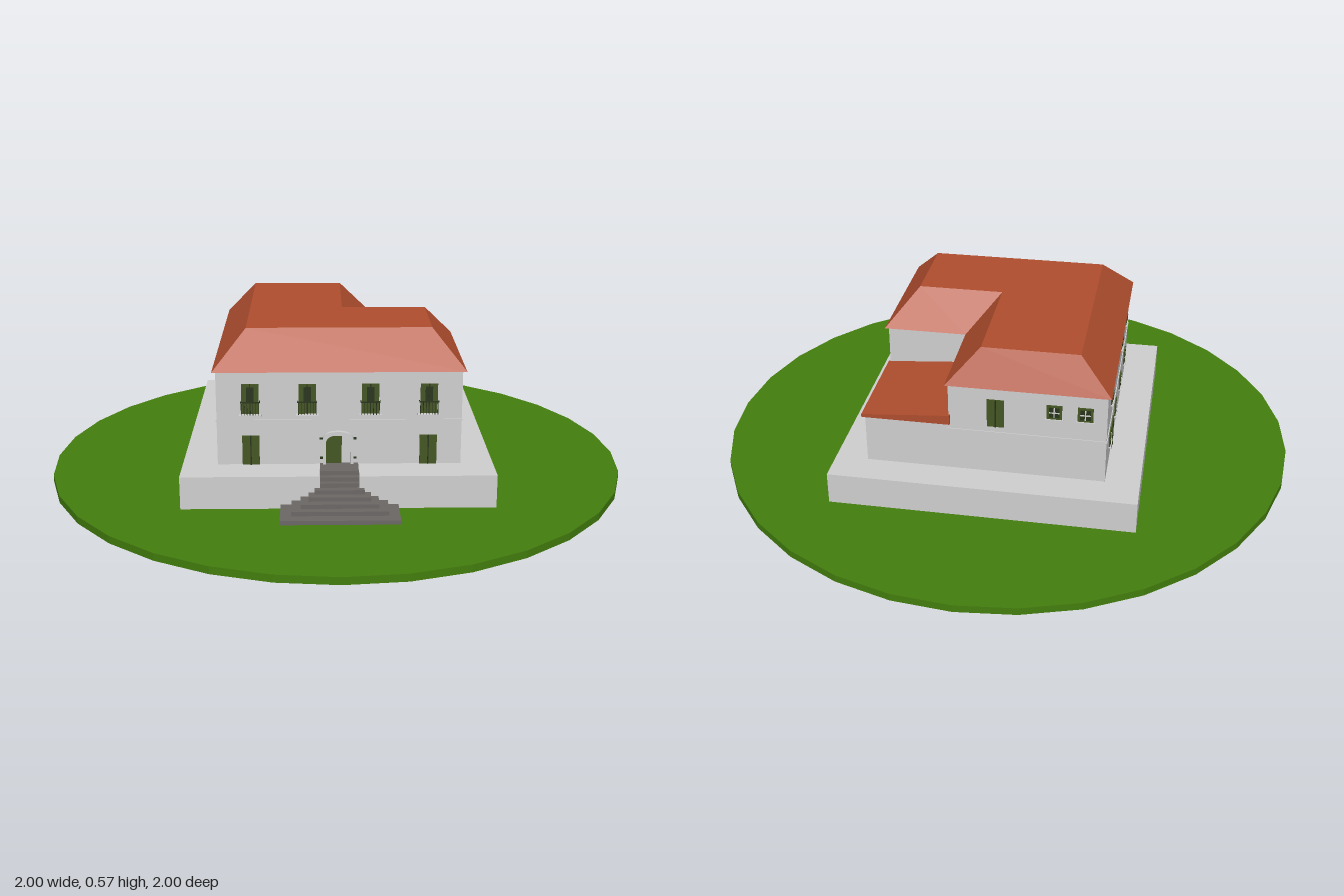
import * as THREE from 'three';

const mat = (name, color) => {
  const m = new THREE.MeshStandardMaterial({ color });
  m.name = name;
  return m;
};

export function createModel() {
  const grass = mat('grass', 0x437e0d);
  const plaster = mat('plaster', 0xd0d0d0);
  const tile = mat('roofTile', 0xb04e2e);
  const stone = mat('stepStone', 0x6c6866);
  const green = mat('shutterGreen', 0x445522);
  const dark = mat('darkGreen', 0x28331a);

  const model = new THREE.Group();
  model.name = 'house';

  const add = (parent, name, geometry, material) => {
    const mesh = new THREE.Mesh(geometry, material);
    mesh.name = name;
    parent.add(mesh);
    return mesh;
  };
  // Box given by its limits
  const box = (parent, name, material, x0, x1, y0, y1, z0, z1) => {
    const g = new THREE.BoxGeometry(x1 - x0, y1 - y0, z1 - z0);
    g.translate((x0 + x1) / 2, (y0 + y1) / 2, (z0 + z1) / 2);
    return add(parent, name, g, material);
  };
  // Plan outline of [x, z] points raised from y0 to y1
  const raise = (points, y0, y1) => {
    const shape = new THREE.Shape(points.map(([x, z]) => new THREE.Vector2(x, -z)));
    const g = new THREE.ExtrudeGeometry(shape, { depth: y1 - y0, bevelEnabled: false });
    return g.rotateX(-Math.PI / 2).translate(0, y0, 0);
  };
  // L-shaped plan: full-width front block and a rear wing on the -x side
  const ell = (x0, x1, xWing, zFront, zInner, zBack) => [
    [x0, zFront], [x1, zFront], [x1, zInner], [xWing, zInner], [xWing, zBack], [x0, zBack],
  ];

  // Lawn
  const lawn = new THREE.CylinderGeometry(1, 1, 0.025, 32).toNonIndexed();
  lawn.computeVertexNormals();
  add(model, 'lawn', lawn.translate(0, 0.0125, 0), grass);

  // Terrace with a notch for the stair
  add(model, 'terrace', raise([
    [-0.51, 0.505], [-0.063, 0.505], [-0.063, 0.44], [0.067, 0.44], [0.067, 0.505],
    [0.51, 0.505], [0.51, -0.56], [-0.51, -0.56],
  ], 0.02, 0.135), plaster);

  // Stair: spreading lower steps, then narrow steps cut into the terrace
  const steps = [[0.19, 0.637], [0.155, 0.6], [0.125, 0.575], [0.1, 0.55], [0.08, 0.525],
    [0.063, 0.503], [0.063, 0.485], [0.063, 0.465]];
  steps.forEach(([half, z], i) => {
    const y = 0.025 + i * 0.0141;
    const back = i < 5 ? 0.506 : 0.44;
    box(model, 'step', stone, 0.003 - half, 0.003 + half, y, y + 0.0141, back - (i < 5 ? 0 : 0.001), z);
    if (i < 5) box(model, 'stepCore', stone, -0.06, 0.064, y, y + 0.0141, 0.44, 0.507);
  });
  box(model, 'landing', stone, -0.06, 0.066, 0.134, 0.138, 0.39, 0.441);

  // Walls, with a thin string course between the floors
  add(model, 'houseWalls', raise(ell(-0.395, 0.403, 0.12, 0.39, -0.1, -0.45), 0.135, 0.456), plaster);
  add(model, 'stringCourse', raise(ell(-0.398, 0.406, 0.123, 0.393, -0.103, -0.453), 0.283, 0.289), plaster);
  box(model, 'annexWalls', plaster, 0.11, 0.4, 0.135, 0.308, -0.45, -0.09);

  // Flat-topped hip roof: the top outline is drawn in from the eaves
  const roof = raise(ell(-0.407, 0.415, 0.13, 0.403, -0.11, -0.46), 0.452, 0.57);
  const inward = { '-0.407': -0.3, '0.415': 0.31, '0.130': 0.02 };
  const forward = { '0.403': 0.285, '-0.110': 0, '-0.460': -0.4 };
  const p = roof.attributes.position;
  for (let i = 0; i < p.count; i++) {
    if (p.getY(i) > 0.5) {
      p.setX(i, inward[p.getX(i).toFixed(3)]);
      p.setZ(i, forward[p.getZ(i).toFixed(3)]);
    }
  }
  roof.computeVertexNormals();
  add(model, 'mainRoof', roof, tile);

  // Lean-to roof over the annex
  const lean = new THREE.Shape([[0.115, 0.306], [0.41, 0.306], [0.41, 0.317], [0.115, 0.34]]
    .map(([x, y]) => new THREE.Vector2(x, y)));
  add(model, 'annexRoof', new THREE.ExtrudeGeometry(lean, { depth: 0.362, bevelEnabled: false })
    .translate(0, 0, -0.46), tile);

  // Wall frames: local x runs along the wall, local z points outward
  const onWall = (name, x, z, turn) => {
    const g = new THREE.Group();
    g.name = name;
    g.position.set(x, 0, z);
    g.rotation.y = turn;
    model.add(g);
    return g;
  };
  const windowAt = (wall, u, y, barred) => {
    const w = 0.025;
    box(wall, 'windowFrame', green, u - w, u + w, y - w, y + w, -0.002, 0.004);
    box(wall, 'windowPane', dark, u - 0.017, u + 0.017, y - 0.018, y + 0.018, 0, 0.0055);
    const bar = barred ? plaster : green;
    box(wall, 'windowBar', bar, u - 0.002, u + 0.002, y - 0.018, y + 0.018, 0, 0.007);
    box(wall, 'windowBar', bar, u - 0.017, u + 0.017, y - 0.002, y + 0.002, 0, 0.007);
    box(wall, 'windowSill', plaster, u - 0.029, u + 0.029, y - 0.029, y - 0.025, -0.002, 0.008);
  };
  const doorAt = (wall, u, y) => {
    box(wall, 'door', green, u - 0.028, u + 0.028, y, y + 0.1, -0.002, 0.004);
    box(wall, 'doorSeam', dark, u - 0.002, u + 0.002, y, y + 0.1, 0, 0.006);
  };
  const balconyAt = (wall, u) => {
    doorAt(wall, u, 0.31);
    box(wall, 'balconyPane', dark, u - 0.012, u + 0.012, 0.35, 0.4, 0, 0.005);
    box(wall, 'balconySlab', plaster, u - 0.036, u + 0.036, 0.303, 0.309, -0.002, 0.018);
    for (let i = -3; i <= 3; i++) {
      const x = u + i * 0.0095;
      box(wall, 'baluster', dark, x - 0.001, x + 0.001, 0.309, 0.352, 0.013, 0.015);
    }
    box(wall, 'balconyRail', dark, u - 0.032, u + 0.032, 0.35, 0.354, 0.012, 0.016);
    for (const s of [-1, 1]) {
      box(wall, 'sideRail', dark, u + s * 0.031 - 0.001, u + s * 0.031 + 0.001, 0.35, 0.354, 0, 0.014);
    }
  };

  // Front
  const front = onWall('frontOpenings', 0, 0.39, 0);
  [-0.285, -0.1, 0.105, 0.295].forEach((u) => balconyAt(front, u));
  [-0.285, 0.295].forEach((u) => doorAt(front, u, 0.135));

  // Entrance portal with arched surround and half-open leaf
  const arch = (half, top) => {
    const s = new THREE.Shape();
    s.moveTo(-half, 0.135);
    s.lineTo(half, 0.135);
    s.lineTo(half, top - 0.03);
    s.quadraticCurveTo(half, top, 0, top);
    s.quadraticCurveTo(-half, top, -half, top - 0.03);
    return s;
  };
  const surround = arch(0.05, 0.25);
  surround.holes.push(arch(0.04, 0.238));
  add(front, 'portalSurround', new THREE.ExtrudeGeometry(surround,
    { depth: 0.014, bevelEnabled: false, curveSegments: 8 }), plaster);
  box(front, 'entranceDoor', green, -0.04, 0.012, 0.135, 0.232, -0.002, 0.003);
  for (const s of [-1, 1]) {
    for (const y of [0.155, 0.222]) {
      box(front, 'portalBlock', dark, s * 0.055 - 0.005, s * 0.055 + 0.005, y, y + 0.005, 0, 0.008);
    }
  }

  // +x side: front block, annex and upper wing wall (u = -z)
  const leftSide = onWall('leftOpenings', 0.403, 0, Math.PI / 2);
  [-0.25, -0.065].forEach((u) => {
    windowAt(leftSide, u, 0.383, false);
    windowAt(leftSide, u, 0.22, true);
  });
  const annex = onWall('annexOpenings', 0.4, 0, Math.PI / 2);
  doorAt(annex, 0.19, 0.135);
  windowAt(annex, 0.34, 0.22, true);
  windowAt(onWall('wingOpenings', 0.12, 0, Math.PI / 2), 0.265, 0.383, false);

  // -x side (u = z)
  const rightSide = onWall('rightOpenings', -0.395, 0, -Math.PI / 2);
  [-0.31, 0.07, 0.255].forEach((u) => windowAt(rightSide, u, 0.383, false));
  [-0.31, -0.115, 0.07, 0.255].forEach((u) => windowAt(rightSide, u, 0.22, true));
  doorAt(rightSide, -0.225, 0.135);

  // Back (u = -x)
  const back = onWall('backOpenings', 0, -0.45, Math.PI);
  doorAt(back, 0.035, 0.31);
  [0.225, 0.325].forEach((u) => windowAt(back, u, 0.383, true));

  return model;
}
